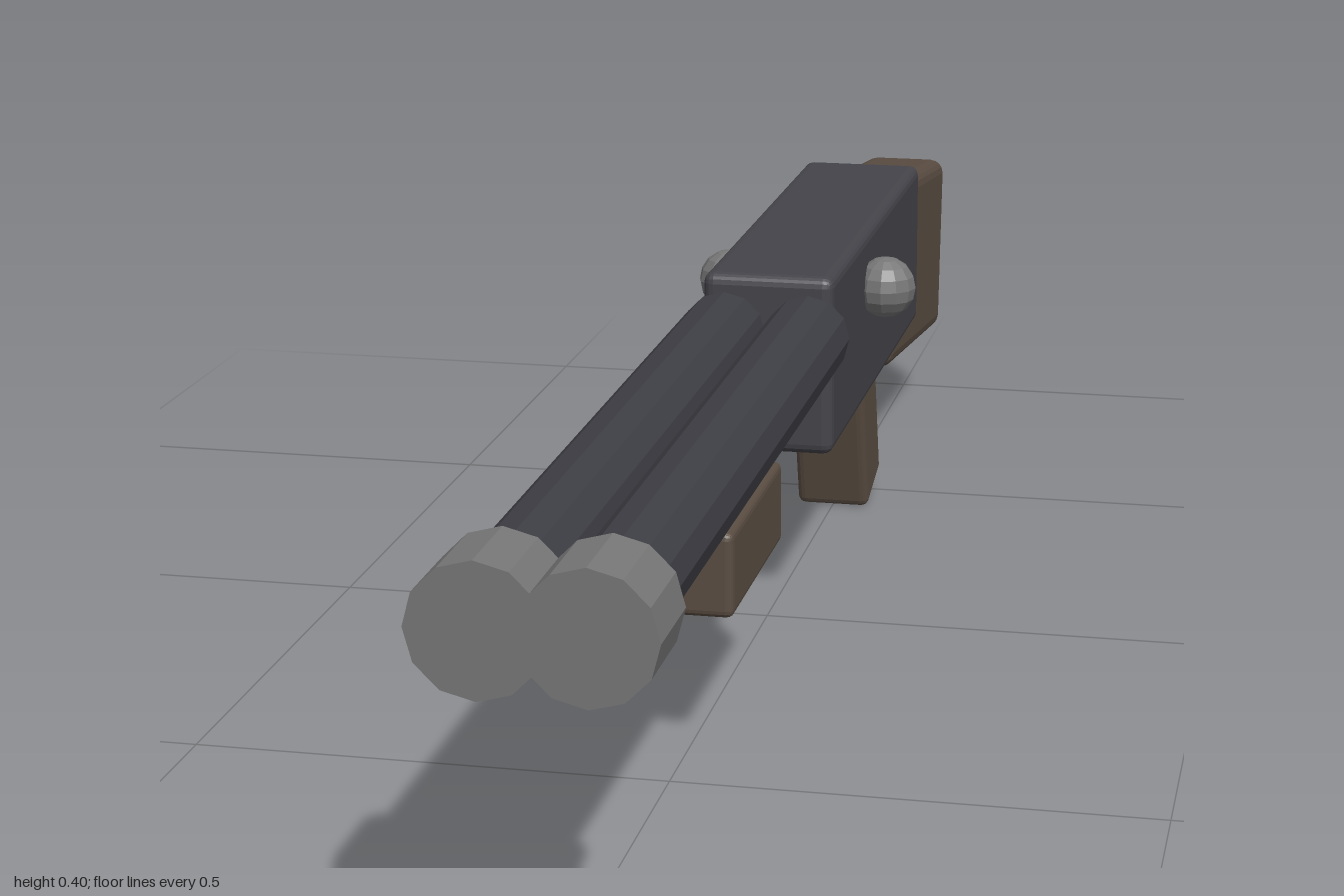
import * as THREE from 'three';
import { RoundedBoxGeometry } from 'three/addons/geometries/RoundedBoxGeometry.js';

const paint = (color) => {
  const material = new THREE.MeshStandardMaterial({ color, flatShading: true });
  return material;
};

export function createModel() {
  const model = new THREE.Group();
  const darkMetal = paint(0x44444a);
  const barrelMetal = paint(0x3e3e45);
  const wood = paint(0x5a4d42);
  const steel = paint(0x777777);

  function add(name, geometry, material, x, y, z, tilt = 0) {
    const mesh = new THREE.Mesh(geometry, material);
    mesh.name = name;
    mesh.position.set(x, y, z);
    mesh.rotation.x = tilt;
    model.add(mesh);
  }

  const block = (w, h, d, bevel) => new RoundedBoxGeometry(w, h, d, 2, bevel);

  // Twelve-sided rod along z, with chamfered ends
  function rod(radius, length, bevel) {
    const h = length / 2;
    const profile = [
      [0, -h], [radius - bevel, -h], [radius, -h + bevel],
      [radius, h - bevel], [radius - bevel, h], [0, h],
    ].map(([r, y]) => new THREE.Vector2(r, y));
    return new THREE.LatheGeometry(profile, 12).rotateX(Math.PI / 2);
  }

  // Body and wooden furniture
  add('receiver', block(0.148, 0.205, 0.632, 0.012), darkMetal, 0, 0.2995, -0.316);
  add('stock', block(0.11, 0.235, 0.435, 0.018), wood, 0, 0.244, -0.766, -0.12);
  add('grip', block(0.09, 0.24, 0.1, 0.01), wood, 0, 0.129, -0.441, 0.27);
  add('foregrip', block(0.11, 0.09, 0.257, 0.008), wood, 0, 0.205, 0.322);

  // Twin barrels, muzzle rings and side knobs
  for (const side of [-1, 1]) {
    add('barrel', rod(0.047, 0.94, 0.008), barrelMetal, side * 0.0475, 0.337, 0.47);
    add('muzzle', new THREE.CylinderGeometry(0.0625, 0.0625, 0.093, 12).rotateX(Math.PI / 2),
      steel, side * 0.0485, 0.337, 0.9535);
    add('knob', new THREE.SphereGeometry(0.036, 12, 8), steel, side * 0.094, 0.336, -0.242);
  }

  return model;
}
